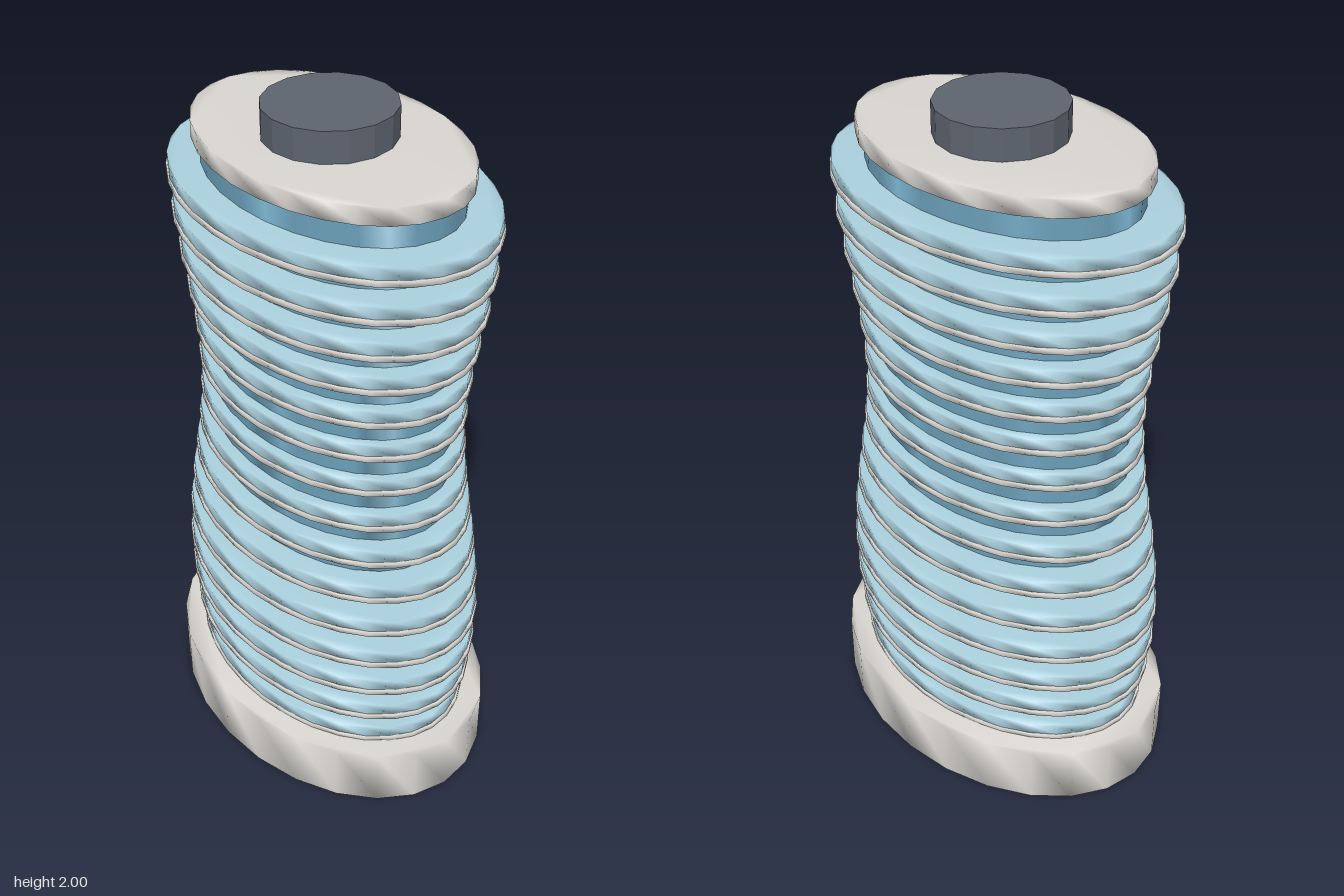
import * as THREE from 'three';
import { mergeVertices } from 'three/addons/utils/BufferGeometryUtils.js';

const material = (name, color) => new THREE.MeshStandardMaterial({ name, color });

// Elliptical slab from y0 to y1; soft slabs share normals between caps and wall
function slab(name, mat, rx, rz, y0, y1, sides, soft = true) {
  const points = [];
  for (let i = 0; i < sides; i++) {
    const a = (i / sides) * Math.PI * 2;
    points.push(new THREE.Vector2(Math.cos(a) * rx, Math.sin(a) * rz));
  }
  let geometry = new THREE.ExtrudeGeometry(new THREE.Shape(points), {
    depth: y1 - y0, bevelEnabled: false, steps: 1,
  });
  geometry.rotateX(-Math.PI / 2);
  geometry.translate(0, y0, 0);
  if (soft) {
    geometry.deleteAttribute('normal');
    geometry.deleteAttribute('uv');
    geometry = mergeVertices(geometry, 1e-4);
    geometry.computeVertexNormals();
  }
  const mesh = new THREE.Mesh(geometry, mat);
  mesh.name = name;
  return mesh;
}

export function createModel() {
  const stone = material('pale stone', 0xd9d6d1);
  const glass = material('blue glass', 0x6b9fb8);
  const paleGlass = material('pale blue glass', 0xabd0de);
  const steel = material('dark steel', 0x5d646f);

  const tower = new THREE.Group();
  tower.name = 'tower';

  // Podium, glazed core, roof and plant room
  tower.add(
    slab('podium', stone, 0.565, 0.402, 0, 0.18, 24),
    slab('core', glass, 0.423, 0.28, 0.18, 1.866, 28),
    slab('roof', stone, 0.444, 0.301, 1.866, 1.914, 28),
    slab('plantRoom', steel, 0.177, 0.177, 1.914, 2, 16, false),
  );

  // Floor plates swell and narrow in a wave up the tower
  const floors = 15;
  for (let i = 0; i < floors; i++) {
    const y = 0.177 + i * 0.1123;
    const rx = 0.495 + 0.038 * Math.cos(((i - 2.8) / 11.6) * Math.PI * 2);
    const floor = new THREE.Group();
    floor.name = `floor${i + 1}`;
    floor.add(
      slab('floorPlate', stone, rx, rx * 0.68, y, y + 0.016, 32),
      slab('balconyGlass', paleGlass, rx - 0.006, (rx - 0.006) * 0.68, y + 0.016, y + 0.048, 32),
    );
    tower.add(floor);
  }
  return tower;
}
